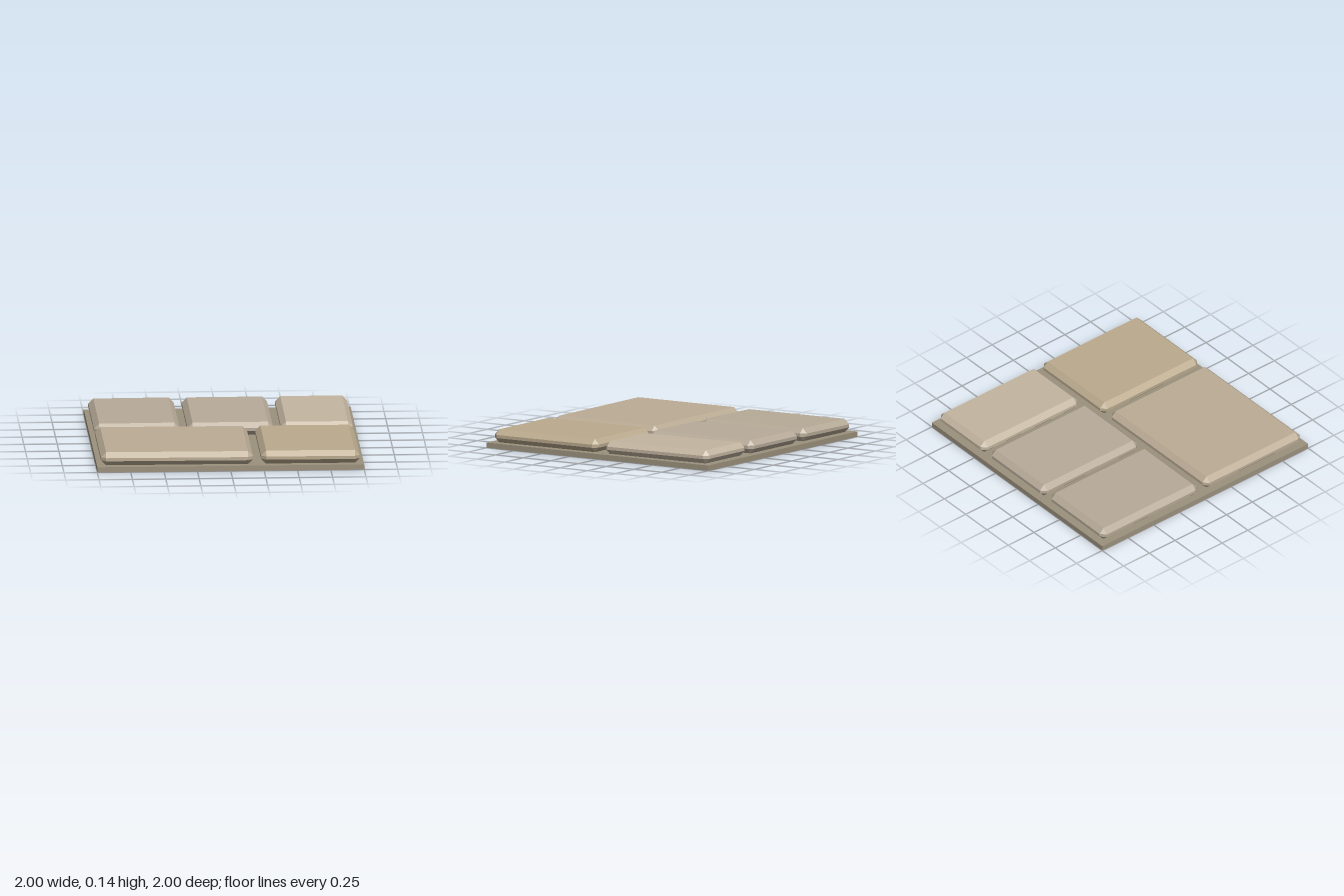
import * as THREE from 'three';
import { ConvexGeometry } from 'three/addons/geometries/ConvexGeometry.js';

const BASE_HEIGHT = 0.04;
const STONE_HEIGHT = 0.1;
const BEVEL = 0.038;

// Box with every edge and corner cut flat: three points around each corner.
function chamferedBox(w, h, d, c) {
  const points = [];
  for (const sx of [-1, 1]) for (const sy of [-1, 1]) for (const sz of [-1, 1]) {
    const x = w / 2, y = h / 2, z = d / 2;
    points.push(
      new THREE.Vector3(sx * x, sy * (y - c), sz * (z - c)),
      new THREE.Vector3(sx * (x - c), sy * y, sz * (z - c)),
      new THREE.Vector3(sx * (x - c), sy * (y - c), sz * z)
    );
  }
  return new ConvexGeometry(points);
}

function material(color) {
  return new THREE.MeshStandardMaterial({ color, flatShading: true });
}

export function createModel() {
  const group = new THREE.Group();
  group.name = 'pavingTile';

  // Mortar slab under the stones
  const base = new THREE.Mesh(new THREE.BoxGeometry(2, BASE_HEIGHT, 2), material(0x9c917d));
  base.name = 'mortarBase';
  base.position.y = BASE_HEIGHT / 2;
  group.add(base);

  // Paving stones, each very slightly tilted
  const stones = [
    { name: 'backLeftStone', x: [-0.97, -0.33], z: [-0.97, -0.03], color: 0xb7ab98, tilt: [0.002, 0.005] },
    { name: 'backMiddleStone', x: [-0.27, 0.37], z: [-0.97, -0.03], color: 0xb8ab9a, tilt: [0.002, 0.001] },
    { name: 'backRightStone', x: [0.43, 0.97], z: [-0.97, -0.03], color: 0xc3b5a0, tilt: [0.006, -0.002] },
    { name: 'frontLeftStone', x: [-0.97, 0.17], z: [0.03, 0.97], color: 0xbbac95, tilt: [0.001, -0.003] },
    { name: 'frontRightStone', x: [0.23, 0.97], z: [0.03, 0.97], color: 0xbaaa8e, tilt: [0.001, -0.002] },
  ];
  for (const { name, x, z, color, tilt } of stones) {
    const geometry = chamferedBox(x[1] - x[0], STONE_HEIGHT, z[1] - z[0], BEVEL);
    const stone = new THREE.Mesh(geometry, material(color));
    stone.name = name;
    stone.position.set((x[0] + x[1]) / 2, BASE_HEIGHT + STONE_HEIGHT / 2 - 0.001, (z[0] + z[1]) / 2);
    stone.rotation.set(tilt[0], 0, tilt[1]);
    group.add(stone);
  }
  return group;
}
